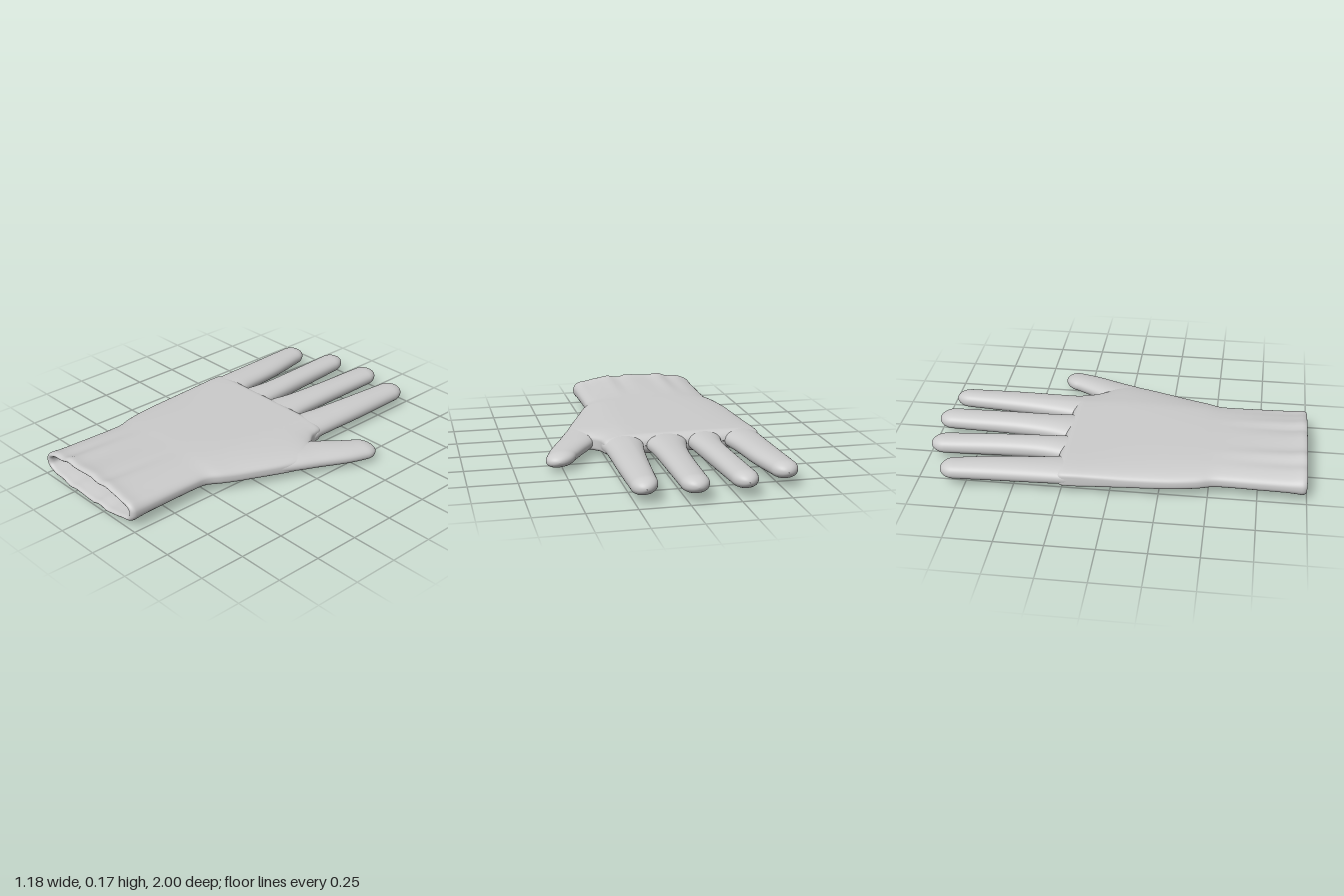
import * as THREE from 'three';

const SEGS = 96;
const CY = 0.088; // height of the glove's middle plane
const { smoothstep } = THREE.MathUtils;

// Rows are [z, left x, right x, half thickness, squareness], running towards -z.
// Smoothly resample a short table of rows.
function refine(rows, steps) {
  const curve = new THREE.CubicInterpolant(rows.map((_, i) => i), rows.flat(), 5);
  const out = [];
  const count = (rows.length - 1) * steps;
  for (let i = 0; i <= count; i++) out.push(Array.from(curve.evaluate(i / steps)));
  return out;
}

// Rounded end: pulls the sides in by `radius` while the thickness runs out at tipZ.
function dome([z, l, r, h, n], tipX, tipZ, radius, steps = 10) {
  const out = [];
  for (let i = 1; i <= steps; i++) {
    const a = (i / steps) * Math.PI * 0.497;
    const shift = (tipX - (l + r) / 2) * Math.sin(a);
    const inset = radius * (1 - Math.cos(a));
    out.push([z + (tipZ - z) * Math.sin(a), l + inset + shift, r - inset + shift, h * Math.cos(a), n]);
  }
  return out;
}

// Skin of superellipse rings, with knitted ribs on the cuff and a drooping thumb side.
function loft(name, rows, material) {
  const pos = [], index = [];
  const power = (v, p) => Math.sign(v) * Math.abs(v) ** p;
  rows.forEach(([z, l, r, h, n], i) => {
    for (let j = 0; j < SEGS; j++) {
      const t = (j / SEGS) * Math.PI * 2;
      const x = (l + r) / 2 + ((r - l) / 2) * power(Math.cos(t), 2 / n);
      const rib = 1 + 0.065 * smoothstep(z, 0.42, 0.95) * (Math.sin(38 * x) + 0.5 * Math.sin(61 * x + 1));
      const droop = 0.08 * Math.max(0, x - 0.15) * (1 - smoothstep(z, 0.35, 0.6));
      pos.push(x, CY + h * rib * power(Math.sin(t), 2 / n) - droop, z);
      if (i === rows.length - 1) continue;
      const a = i * SEGS + j, b = i * SEGS + ((j + 1) % SEGS);
      index.push(a, a + SEGS, b, b, a + SEGS, b + SEGS);
    }
  });
  const geometry = new THREE.BufferGeometry();
  geometry.setAttribute('position', new THREE.Float32BufferAttribute(pos, 3));
  geometry.setIndex(index);
  geometry.computeVertexNormals();
  const mesh = new THREE.Mesh(geometry, material);
  mesh.name = name;
  return mesh;
}

export function createModel() {
  const glove = new THREE.Group();
  glove.name = 'glove';
  const material = new THREE.MeshStandardMaterial({ color: 0xcccccc, side: THREE.DoubleSide });

  // Palm and cuff: lining, rolled rim, then the outside up to the finger webs
  const outer = refine([
    [0.97, -0.503, 0.235, 0.081, 2.6],
    [0.9, -0.5, 0.232, 0.073, 2.6],
    [0.75, -0.497, 0.23, 0.068, 2.7],
    [0.6, -0.494, 0.23, 0.065, 2.8],
    [0.52, -0.498, 0.236, 0.064, 2.9],
    [0.44, -0.522, 0.275, 0.064, 3],
    [0.3, -0.545, 0.333, 0.063, 3.1],
    [0.1, -0.557, 0.41, 0.06, 3.5],
    [0, -0.56, 0.43, 0.058, 4],
    [-0.06, -0.562, 0.402, 0.057, 4.3],
    [-0.12, -0.564, 0.335, 0.056, 4.6],
    [-0.18, -0.567, 0.288, 0.055, 5],
    [-0.23, -0.568, 0.274, 0.054, 5],
  ], 5);
  const insetRow = ([z, l, r, h, n], k) => [z, l + 0.038 * k, r - 0.038 * k, h - 0.025 * k, n];
  const lining = outer.filter((row) => row[0] > 0.05).reverse().map((row) => insetRow(row, 1));
  lining.unshift([0.02, -0.5, 0.36, 0.001, 3]);
  const rim = [];
  for (let i = 1; i < 10; i++) {
    const a = (i / 10) * Math.PI;
    const row = insetRow(outer[0], (1 + Math.cos(a)) / 2);
    row[0] += 0.027 * Math.sin(a);
    rim.push(row);
  }
  const end = dome(outer[outer.length - 1], -0.147, -0.285, 0.05);
  glove.add(loft('palmAndCuff', [...lining, ...rim, ...outer, ...end], material));

  // Fingers and thumb, rooted inside the palm
  const digits = {
    littleFinger: { tip: [-0.52, -0.877], rows: [
      [-0.08, -0.54, -0.39, 0.03, 2.2], [-0.2, -0.566, -0.365, 0.047, 2.2], [-0.28, -0.57, -0.372, 0.05, 2.2],
      [-0.4, -0.573, -0.392, 0.05, 2.2], [-0.6, -0.579, -0.413, 0.049, 2.2], [-0.8, -0.588, -0.449, 0.045, 2.2]] },
    ringFinger: { tip: [-0.29, -0.982], rows: [
      [-0.08, -0.34, -0.19, 0.03, 2.2], [-0.2, -0.36, -0.165, 0.047, 2.2], [-0.28, -0.35, -0.172, 0.05, 2.2],
      [-0.4, -0.333, -0.184, 0.05, 2.2], [-0.6, -0.336, -0.2, 0.05, 2.2], [-0.9, -0.353, -0.221, 0.045, 2.2]] },
    middleFinger: { tip: [-0.038, -1], rows: [
      [-0.08, -0.14, 0.03, 0.03, 2.2], [-0.2, -0.17, 0.058, 0.047, 2.2], [-0.28, -0.163, 0.052, 0.05, 2.2],
      [-0.4, -0.136, 0.04, 0.05, 2.2], [-0.6, -0.117, 0.036, 0.05, 2.2], [-0.92, -0.107, 0.034, 0.045, 2.2]] },
    indexFinger: { tip: [0.203, -0.963], rows: [
      [-0.08, 0.08, 0.25, 0.03, 2.2], [-0.2, 0.06, 0.278, 0.047, 2.2], [-0.28, 0.068, 0.271, 0.05, 2.2],
      [-0.4, 0.088, 0.269, 0.05, 2.2], [-0.6, 0.11, 0.27, 0.05, 2.2], [-0.88, 0.133, 0.267, 0.045, 2.2]] },
    thumb: { tip: [0.525, -0.388], rows: [
      [0.32, 0.2, 0.322, 0.02, 2.2], [0.2, 0.21, 0.37, 0.035, 2.2], [0.05, 0.235, 0.437, 0.045, 2.2],
      [-0.05, 0.265, 0.48, 0.046, 2.2], [-0.14, 0.31, 0.522, 0.046, 2.2], [-0.22, 0.367, 0.556, 0.044, 2.2],
      [-0.31, 0.427, 0.585, 0.041, 2.2]] },
  };
  for (const [name, { tip, rows }] of Object.entries(digits)) {
    const last = rows[rows.length - 1];
    const body = refine(rows, 6);
    glove.add(loft(name, [...body, ...dome(last, tip[0], tip[1], (last[2] - last[1]) / 2)], material));
  }
  return glove;
}
